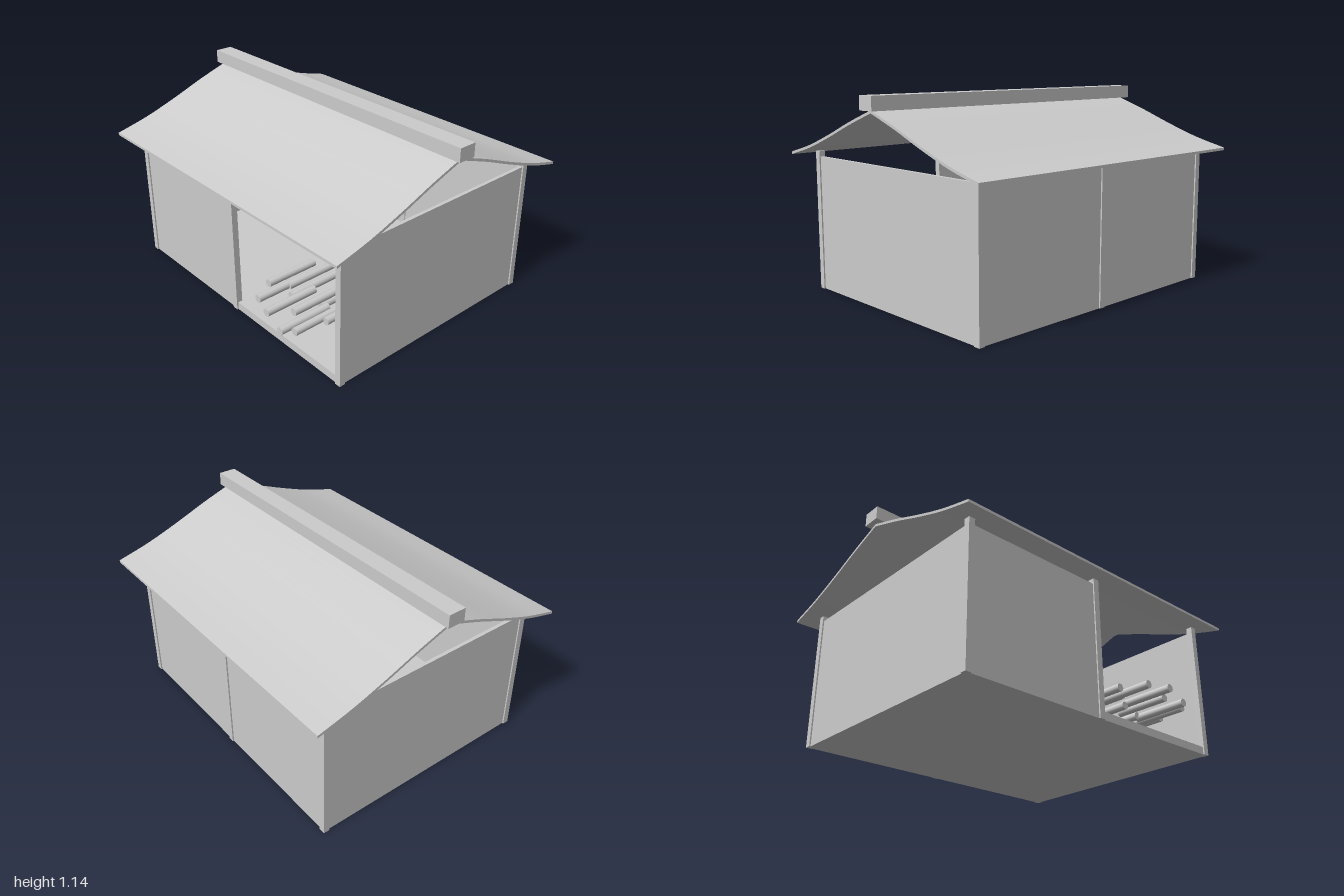
import * as THREE from 'three';
import { toCreasedNormals } from 'three/addons/utils/BufferGeometryUtils.js';

export function createModel() {
  const model = new THREE.Group();
  model.name = 'woodShed';
  const grey = new THREE.MeshStandardMaterial({ color: 0xcccccc });
  grey.name = 'plain grey';

  const add = (name, geometry, x = 0, y = 0, z = 0) => {
    const mesh = new THREE.Mesh(geometry, grey);
    mesh.name = name;
    mesh.position.set(x, y, z);
    model.add(mesh);
    return mesh;
  };
  const box = (name, w, h, d, x, y, z) => add(name, new THREE.BoxGeometry(w, h, d), x, y + h / 2, z);

  const postX = 0.86, postZ = 0.675, postSize = 0.036;
  const wallH = 0.77, wallT = 0.02;

  // Floor slab, whose front edge is the sill of the open bay
  box('floor', 2 * postX, 0.045, 2 * postZ + wallT, 0, 0, 0);

  // Walls: the front right bay and both gables stay open
  box('backWall', 2 * postX, wallH, wallT, 0, 0, -postZ);
  box('frontWall', postX, wallH, wallT, -postX / 2, 0, postZ);
  for (const side of [-1, 1]) {
    box(side > 0 ? 'leftWall' : 'rightWall', wallT, wallH, 2 * postZ, side * postX, 0, 0);
  }

  // Three posts along the front and three along the back
  for (const z of [-postZ, postZ]) {
    for (const x of [-postX, 0, postX]) {
      box(z > 0 ? 'frontPost' : 'backPost', postSize, 0.8, postSize, x, 0, z);
    }
  }

  // Curved thin roof: one slope profile mirrored, then extruded along x
  const slope = new THREE.SplineCurve([
    [0.8, 0.795], [0.6, 0.848], [0.4, 0.918], [0.2, 0.996], [0, 1.066],
  ].map(([z, y]) => new THREE.Vector2(z, y))).getPoints(20);
  const mirrored = slope.slice(0, -1).reverse().map((p) => new THREE.Vector2(-p.x, p.y));
  const top = [...slope, ...mirrored];
  const under = top.map((p) => new THREE.Vector2(p.x, p.y - 0.015)).reverse();
  const roof = new THREE.ExtrudeGeometry(new THREE.Shape([...top, ...under]), {
    depth: 1.94, bevelEnabled: false, steps: 1,
  });
  roof.translate(0, 0, -0.97);
  roof.rotateY(Math.PI / 2);
  add('roof', toCreasedNormals(roof, 0.4));

  // Ridge beam
  box('ridgeBeam', 2, 0.076, 0.105, 0, 1.064, 0);

  // Two layers of loose logs: x, height and z of the front end
  const logLength = 0.32;
  const log = new THREE.CylinderGeometry(0.022, 0.022, logLength, 20).rotateX(Math.PI / 2);
  const logs = [
    [0.34, 0.2, 0.56], [0.512, 0.2, 0.5], [0.542, 0.2, 0.797], [0.595, 0.2, 0.745], [0.632, 0.2, 0.57],
    [0.23, 0.255, 0.626], [0.308, 0.255, 0.755], [0.32, 0.255, 0.56], [0.434, 0.255, 0.797], [0.522, 0.255, 0.69],
  ];
  for (const [x, y, front] of logs) add('log', log, x, y, front - logLength / 2);

  return model;
}
